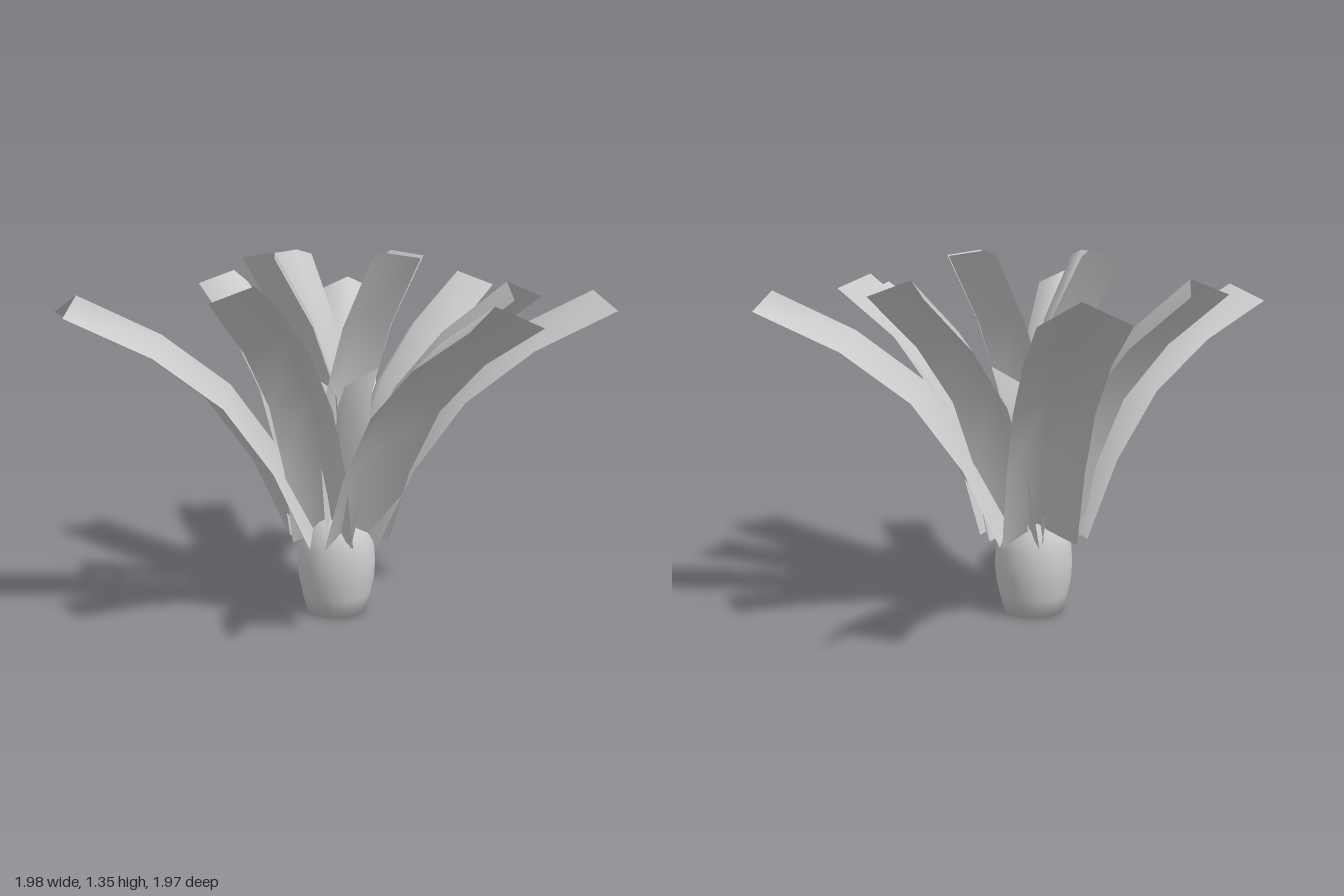
import * as THREE from 'three';

const material = new THREE.MeshStandardMaterial({ color: 0xcccccc, side: THREE.DoubleSide });
const axisX = 0.008;
const rows = 4;

// Three rings of leaves: base and tip of the side edges and the step from edge to fold line,
// all as [outward, height], plus the direction of each leaf in degrees from +x towards +z.
const rings = [
  {
    name: 'outerLeaf', width: 0.275, base: [0.15, 0.285], tip: [0.986, 1.145],
    fold: [-0.062, 0.065], angles: [-72.9, 15, 74, 174.5],
  },
  {
    name: 'middleLeaf', width: 0.24, base: [0.13, 0.283], tip: [0.734, 1.205],
    fold: [-0.077, 0.052], angles: [-28.5, 44.7, 126.6, 244.8],
  },
  {
    name: 'innerLeaf', width: 0.22, base: [0.08, 0.29], tip: [0.326, 1.328],
    fold: [-0.066, 0.019], angles: [-25, 65.5, 159.6, 249],
  },
];

// Strip bowed along a sine arch and folded along its middle
function leafGeometry({ width, base, tip, fold }) {
  const geometry = new THREE.PlaneGeometry(width, 1, 2, rows);
  const position = geometry.attributes.position;
  const run = tip[0] - base[0];
  const rise = tip[1] - base[1];
  for (let i = 0; i < position.count; i++) {
    const t = 1 - Math.floor(i / 3) / rows;
    const bow = 0.124 * Math.sin(Math.PI * t);
    const onFold = i % 3 === 1 ? 1 : 0;
    const outward = base[0] + run * t - rise * bow + fold[0] * onFold;
    const height = base[1] + rise * t + run * bow + fold[1] * onFold;
    position.setXYZ(i, position.getX(i), height, outward);
  }
  geometry.computeVertexNormals();
  return geometry;
}

export function createModel() {
  const model = new THREE.Group();

  // Rounded bulb with a flat foot
  const profile = [
    [0, 0], [0.112, 0], [0.13, 0.07], [0.143, 0.13], [0.147, 0.19],
    [0.143, 0.25], [0.128, 0.31], [0.09, 0.36], [0.045, 0.38], [0, 0.385],
  ].map(([x, y]) => new THREE.Vector2(x, y));
  const bulb = new THREE.Mesh(new THREE.LatheGeometry(profile, 20), material);
  bulb.name = 'bulb';
  bulb.position.x = axisX;
  model.add(bulb);

  // Leaves
  for (const ring of rings) {
    const geometry = leafGeometry(ring);
    for (const angle of ring.angles) {
      const leaf = new THREE.Mesh(geometry, material);
      leaf.name = ring.name;
      leaf.position.x = axisX;
      leaf.rotation.y = Math.PI / 2 - THREE.MathUtils.degToRad(angle);
      model.add(leaf);
    }
  }
  return model;
}
